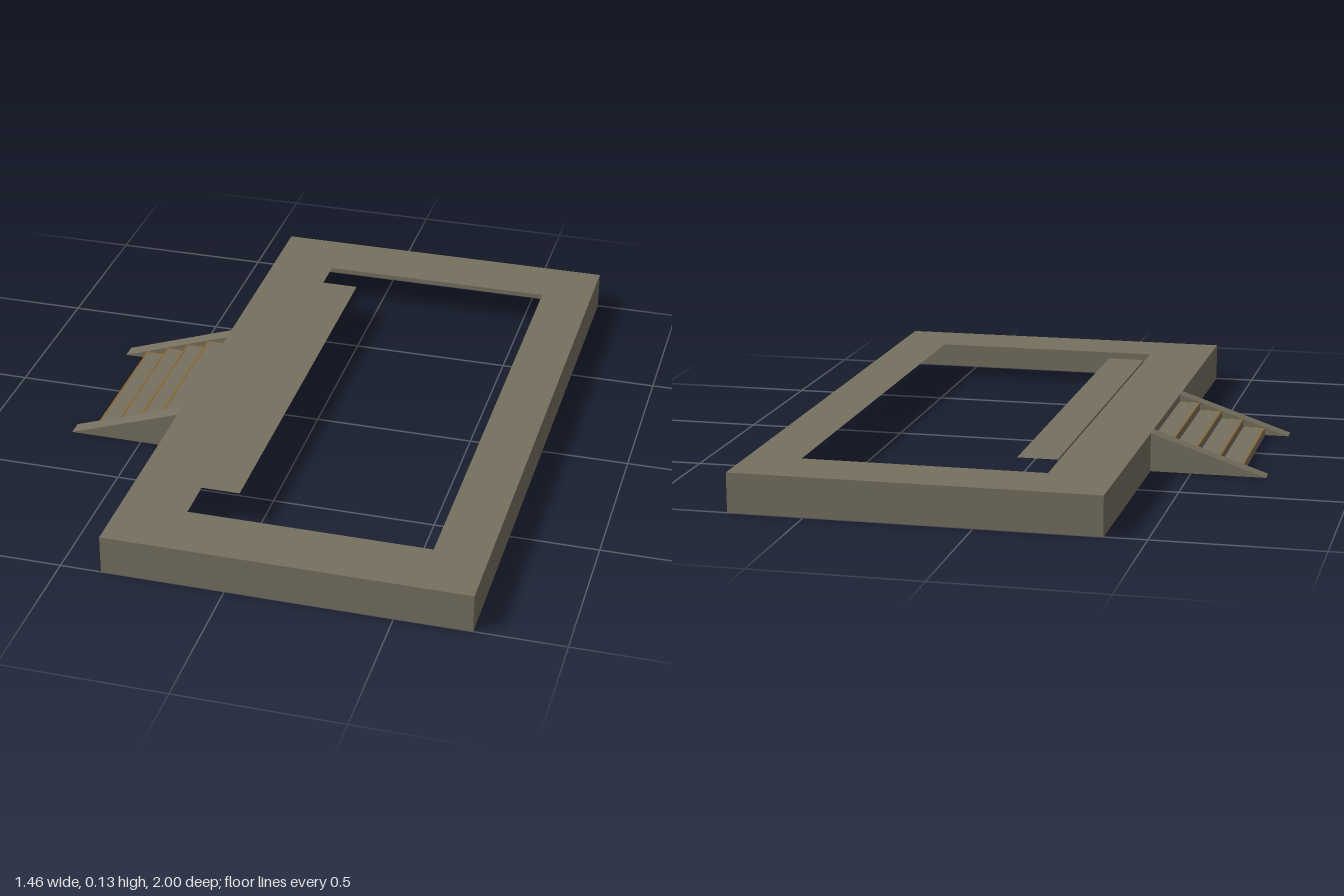
import * as THREE from 'three';

export function createModel() {
  const model = new THREE.Group();
  const material = (name, color) => {
    const m = new THREE.MeshStandardMaterial({ color, side: THREE.DoubleSide });
    m.name = name;
    return m;
  };
  const stone = material('weathered taupe', 0x767060);
  const amber = material('amber brown', 0x8f6428);

  const X0 = -0.375, X1 = 0.73, H = 0.12, T = 0.002;

  const add = (name, geometry, parent = model, mat = stone) => {
    const mesh = new THREE.Mesh(geometry, mat);
    mesh.name = name;
    parent.add(mesh);
    return mesh;
  };
  // Box given by its lowest and highest corners
  const box = (name, a, b, parent, mat) => {
    const g = new THREE.BoxGeometry(b[0] - a[0], b[1] - a[1], b[2] - a[2]);
    g.translate((a[0] + b[0]) / 2, (a[1] + b[1]) / 2, (a[2] + b[2]) / 2);
    return add(name, g, parent, mat);
  };
  const rect = (Kind, x0, y0, x1, y1) => new Kind([
    new THREE.Vector2(x0, y0), new THREE.Vector2(x1, y0),
    new THREE.Vector2(x1, y1), new THREE.Vector2(x0, y1),
  ]);

  // Sheet deck with a rectangular opening
  const deck = rect(THREE.Shape, X0, -1, X1, 1);
  deck.holes.push(rect(THREE.Path, -0.172, -0.803, 0.567, 0.803));
  add('deck', new THREE.ShapeGeometry(deck).rotateX(-Math.PI / 2).translate(0, H, 0));

  // Outer skirt, open underneath
  const skirt = new THREE.Group();
  skirt.name = 'skirt';
  model.add(skirt);
  box('skirtRight', [X0, 0, -1], [X0 + T, H, 1], skirt);
  box('skirtLeft', [X1 - T, 0, -1], [X1, H, 1], skirt);
  box('skirtBack', [X0 + T, 0, -1], [X1 - T, H, -1 + T], skirt);
  box('skirtFront', [X0 + T, 0, 1 - T], [X1 - T, H, 1], skirt);

  // Sheet ledge over the opening, raised on a low upright lip
  const ledge = new THREE.Group();
  ledge.name = 'ledge';
  model.add(ledge);
  const lift = 0.007, ledgeX = [-0.172, -0.051];
  const ledgeShape = rect(THREE.Shape, ledgeX[0], -0.678, ledgeX[1], 0.678);
  add('ledgeTop', new THREE.ShapeGeometry(ledgeShape).rotateX(-Math.PI / 2).translate(0, H + lift, 0), ledge);
  add('ledgeLip', new THREE.PlaneGeometry(1.356, lift).rotateY(-Math.PI / 2)
    .translate(ledgeX[0], H + lift / 2, 0), ledge);

  // Stairs: thin treads and risers between two wedge-shaped cheeks
  const stairs = new THREE.Group();
  stairs.name = 'stairs';
  model.add(stairs);
  const count = 4, run = 0.071, rise = 0.024, start = -0.655, halfWidth = 0.236;
  const trim = 0.005, lip = 0.0008;
  for (let i = 0; i < count; i++) {
    const x = start + i * run, y = (i + 1) * rise;
    const end = i === count - 1 ? X0 + 0.007 : x + run;
    box('tread', [x, y - T, -halfWidth], [end, y, halfWidth], stairs);
    box('riser', [x, y - rise, -halfWidth], [x + T, y - T, halfWidth], stairs);
    // Amber edging along the nosing and both ends of the tread
    box('nosing', [x, y, -halfWidth], [x + trim, y + lip, halfWidth], stairs, amber);
    for (const z of [-halfWidth, halfWidth - trim]) {
      box('treadEdging', [x + trim, y, z], [Math.min(end, X0), y + lip, z + trim], stairs, amber);
    }
  }
  const wedge = new THREE.Shape([
    new THREE.Vector2(-0.73, 0), new THREE.Vector2(X0, 0), new THREE.Vector2(X0, H),
  ]);
  for (const z of [-0.284, 0.234]) {
    const g = new THREE.ExtrudeGeometry(wedge, { depth: 0.05, bevelEnabled: false });
    add('stairCheek', g.translate(0, 0, z), stairs);
  }
  return model;
}
